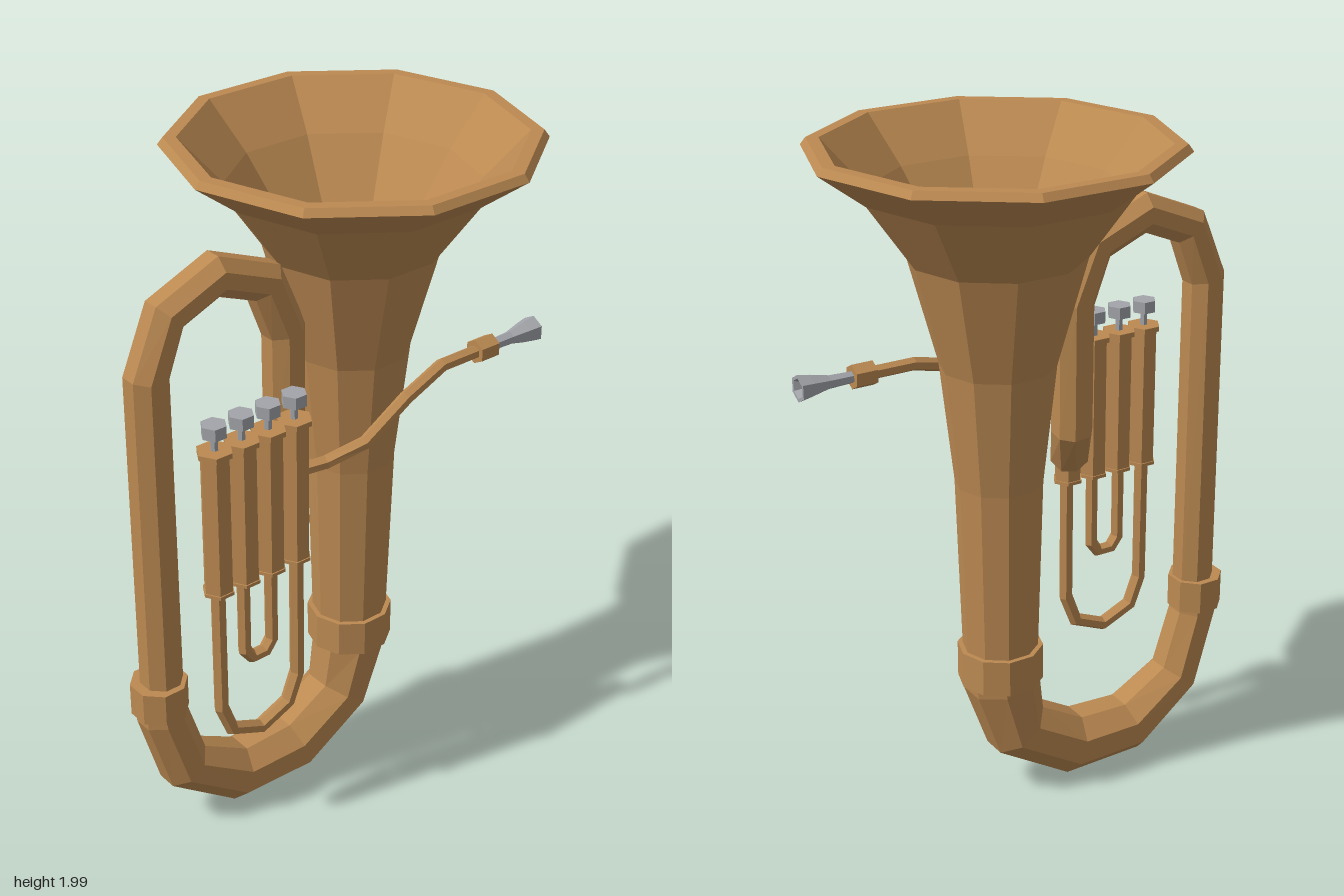
import * as THREE from 'three';

const brass = new THREE.MeshStandardMaterial({ color: 0xbc8a52, flatShading: true });
brass.name = 'brass';
const silver = new THREE.MeshStandardMaterial({ color: 0xa3a5aa, flatShading: true });
silver.name = 'silver';

// Faceted tube through [x, y, z, radius] stations, capped at both ends
function sweep(stations, sides, phase = 0) {
  const P = stations.map(s => new THREE.Vector3(s[0], s[1], s[2]));
  const Z = new THREE.Vector3(0, 0, 1);
  const last = P.length - 1, pos = [], idx = [];
  P.forEach((p, i) => {
    const t = new THREE.Vector3();
    if (i > 0) t.add(p.clone().sub(P[i - 1]).normalize());
    if (i < last) t.add(P[i + 1].clone().sub(p).normalize());
    t.normalize();
    const u = Z.clone().cross(t).normalize();
    const v = t.clone().cross(u);
    for (let j = 0; j < sides; j++) {
      const a = phase + (j / sides) * Math.PI * 2;
      const q = p.clone().addScaledVector(u, Math.cos(a) * stations[i][3])
        .addScaledVector(v, Math.sin(a) * stations[i][3]);
      pos.push(q.x, q.y, q.z);
    }
  });
  for (let i = 0; i < last; i++) {
    for (let j = 0; j < sides; j++) {
      const k = (j + 1) % sides;
      const a = i * sides + j, b = i * sides + k;
      idx.push(a, b, b + sides, a, b + sides, a + sides);
    }
  }
  for (let j = 1; j < sides - 1; j++) {
    const e = last * sides;
    idx.push(0, j + 1, j, e, e + j, e + j + 1);
  }
  const g = new THREE.BufferGeometry();
  g.setAttribute('position', new THREE.Float32BufferAttribute(pos, 3));
  g.setIndex(idx);
  const flat = g.toNonIndexed();
  flat.computeVertexNormals();
  return flat;
}

export function createModel() {
  const model = new THREE.Group();
  model.name = 'brassHorn';

  const add = (name, geometry, material = brass, parent = model) => {
    const m = new THREE.Mesh(geometry, material);
    m.name = name;
    parent.add(m);
    return m;
  };
  // Upright prism with a corner on the x axis (or turned by `turn`)
  const prism = (name, x, z, y0, y1, r, sides, material = brass, turn = 0, parent = model) => {
    const g = new THREE.CylinderGeometry(r, r, y1 - y0, sides, 1, false, Math.PI / 2 + turn);
    g.translate(x, (y0 + y1) / 2, z);
    return add(name, g, material, parent);
  };
  const EIGHTH = Math.PI / 8;

  // Bell: outside wall, rolled rim, then the inside funnel
  const bellProfile = [
    [0.105, 0.4], [0.11, 0.5], [0.125, 1.03], [0.163, 1.38], [0.247, 1.69],
    [0.382, 1.88], [0.515, 1.98], [0.5, 2], [0.465, 2], [0.345, 1.87],
    [0.215, 1.69], [0.13, 1.4], [0, 1.1],
  ].map(p => new THREE.Vector2(p[0], p[1]));
  const bell = add('bell', new THREE.LatheGeometry(bellProfile, 10, Math.PI / 2));
  bell.position.x = 0.125;
  prism('bellCollar', 0.125, 0, 0.4, 0.51, 0.125, 10);

  // Bottom bow, narrowing from the bell to the upright tube
  add('bottomBow', sweep([
    [0.127, 0.44, 0, 0.113], [0.122, 0.39, 0, 0.113], [0.076, 0.217, 0, 0.1],
    [-0.112, 0.102, 0, 0.1], [-0.322, 0.1, 0, 0.094],
    [-0.503, 0.222, 0, 0.08], [-0.566, 0.43, 0, 0.074], [-0.568, 0.48, 0, 0.072],
  ], 8, EIGHTH));
  prism('uprightCollar', -0.572, 0, 0.45, 0.55, 0.083, 8, brass, EIGHTH);

  // Upright tube, top loop and return into the valves
  add('mainLoop', sweep([
    [-0.563, 0.48, 0, 0.062], [-0.563, 1.51, 0, 0.062], [-0.498, 1.672, 0, 0.062],
    [-0.342, 1.737, 0, 0.062], [-0.183, 1.672, 0, 0.062], [-0.117, 1.51, 0, 0.062],
    [-0.117, 1.13, 0, 0.06], [-0.142, 1.03, 0.05, 0.058], [-0.205, 0.99, 0.14, 0.05],
  ], 8, EIGHTH));

  // Four valves with caps, stems and finger buttons
  const vz = 0.155;
  for (let i = 0; i < 4; i++) {
    const x = -0.467 + i * 0.0875;
    const valve = new THREE.Group();
    valve.name = 'valve' + (i + 1);
    model.add(valve);
    prism('valveBody', x, vz, 0.9, 1.32, 0.042, 6, brass, 0, valve);
    prism('valveBottomCap', x, vz, 0.89, 0.9, 0.046, 6, brass, 0, valve);
    prism('valveTopCap', x, vz, 1.318, 1.333, 0.051, 6, brass, 0, valve);
    prism('valveStem', x, vz, 1.33, 1.38, 0.011, 6, silver, 0, valve);
    prism('valveButton', x, vz, 1.375, 1.41, 0.036, 6, silver, 0, valve);
  }

  // Valve slides
  const slide = (name, pts, r) => add(name, sweep(pts.map(p => [p[0], p[1], vz + 0.003, r]), 6));
  slide('shortSlide', [
    [-0.387, 0.9], [-0.387, 0.66], [-0.363, 0.627], [-0.317, 0.627], [-0.293, 0.66], [-0.293, 0.9],
  ], 0.02);
  slide('longSlide', [
    [-0.472, 0.9], [-0.472, 0.5], [-0.438, 0.41], [-0.338, 0.367],
    [-0.238, 0.41], [-0.203, 0.5], [-0.203, 0.9],
  ], 0.022);

  // Leadpipe curving around the front of the bell
  add('leadpipe', sweep([
    [-0.19, 1.165, 0.155, 0.02], [-0.11, 1.17, 0.175, 0.02], [-0.01, 1.215, 0.22, 0.02],
    [0.13, 1.305, 0.223, 0.02], [0.28, 1.345, 0.2, 0.02], [0.42, 1.345, 0.2, 0.02],
  ], 6));
  add('mouthpieceReceiver', sweep([[0.405, 1.345, 0.2, 0.036], [0.47, 1.345, 0.2, 0.036]], 6));

  // Mouthpiece with a hollow cup, turned to point along +x
  const cup = [
    [0, 0.46], [0.017, 0.46], [0.02, 0.54], [0.033, 0.595], [0.04, 0.632],
    [0.03, 0.632], [0.012, 0.6], [0, 0.595],
  ].map(p => new THREE.Vector2(p[0], p[1]));
  const mouthpiece = add('mouthpiece', new THREE.LatheGeometry(cup, 6, Math.PI / 2), silver);
  mouthpiece.rotation.z = -Math.PI / 2;
  mouthpiece.position.set(0, 1.345, 0.2);

  return model;
}
